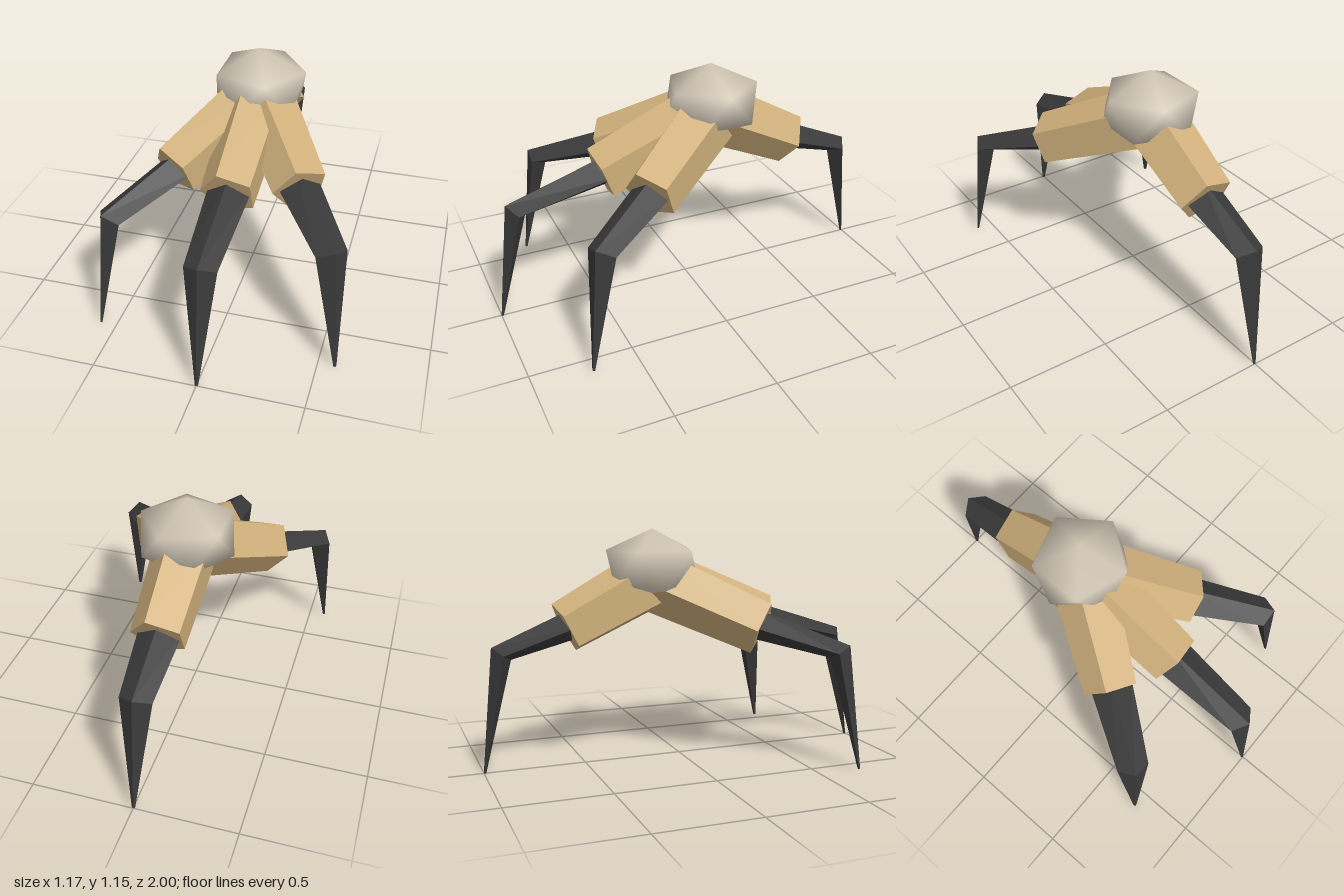
import * as THREE from 'three';
import { mergeVertices } from 'three/addons/utils/BufferGeometryUtils.js';

// A ring of points in a leg's own frame (leg runs along +z); tilt leans its top outward.
function ring(sides, phase, z, y, w, h, tilt) {
  return Array.from({ length: sides }, (_, i) => {
    const a = phase + (i / sides) * Math.PI * 2;
    const u = h * Math.sin(a);
    return [w * Math.cos(a), y + u * Math.cos(tilt), z + u * Math.sin(tilt)];
  });
}

// Skins a list of rings and caps both ends, with flat faces.
function loft(rings) {
  const n = rings[0].length, last = (rings.length - 1) * n, index = [];
  for (let r = 0; r < rings.length - 1; r++) {
    for (let i = 0; i < n; i++) {
      const a = r * n + i, b = r * n + (i + 1) % n;
      index.push(a, b, b + n, a, b + n, a + n);
    }
  }
  for (let i = 1; i < n - 1; i++) {
    index.push(0, i + 1, i, last, last + i, last + i + 1);
  }
  const g = new THREE.BufferGeometry();
  g.setAttribute('position', new THREE.Float32BufferAttribute(rings.flat(2), 3));
  g.setIndex(index);
  const flat = g.toNonIndexed();
  flat.computeVertexNormals();
  return flat;
}

export function createModel() {
  const model = new THREE.Group();
  model.name = 'fourLeggedCrawler';

  const material = (name, color) => {
    const m = new THREE.MeshStandardMaterial({ color });
    m.name = name;
    return m;
  };
  const shell = material('pale shell', 0xd0c6b4);
  const tan = material('tan', 0xd0b07c);
  const charcoal = material('charcoal', 0x3a3a3a);

  const add = (parent, name, geometry, mat) => {
    const mesh = new THREE.Mesh(geometry, mat);
    mesh.name = name;
    parent.add(mesh);
    return mesh;
  };

  // Body: a squashed icosahedron standing on a corner, smoothly shaded
  let ball = new THREE.IcosahedronGeometry(1, 0);
  ball.deleteAttribute('normal');
  ball.deleteAttribute('uv');
  ball = mergeVertices(ball, 1e-4);
  ball.rotateZ(Math.PI / 2 - Math.atan2((1 + Math.sqrt(5)) / 2, 1));
  ball.rotateY(Math.PI);
  ball.scale(0.257, 0.19, 0.257);
  ball.computeVertexNormals();
  add(model, 'body', ball, shell).position.set(0, 0.965, -0.14);

  // Legs: name, heading, then reach of the thigh end, knee and tip from the hub
  const legs = [
    ['frontLeg', 0, 0.59, 1.02, 1.135],
    ['leftLeg', 0.595, 0.55, 0.93, 1.036],
    ['rightLeg', -0.595, 0.55, 0.93, 1.036],
    ['backLeg', Math.PI, 0.445, 0.76, 0.855],
  ];
  for (const [name, heading, thighEnd, knee, tip] of legs) {
    const leg = new THREE.Group();
    leg.name = name;
    leg.position.z = -0.14;
    leg.rotation.y = heading;
    model.add(leg);

    // Thigh: five-sided tapered prism
    const slope = Math.atan2(0.225, thighEnd);
    add(leg, 'thigh', loft([
      ring(5, Math.PI / 5, 0, 0.905, 0.162, 0.162, slope),
      ring(5, Math.PI / 5, thighEnd, 0.68, 0.137, 0.137, slope),
    ]), tan);

    // Shin: flattened diamond section, bent at the knee and drawn to a point
    const shinSlope = Math.atan2(0.11, knee - thighEnd);
    const start = thighEnd - 0.06;
    add(leg, 'shin', loft([
      ring(4, 0, start, 0.685 + 0.06 * Math.tan(shinSlope), 0.105, 0.075, shinSlope),
      ring(4, 0, knee, 0.575, 0.077, 0.056, 0.97),
      ring(4, 0, tip, 0, 0.008, 0.006, Math.PI / 2),
    ]), charcoal);
  }
  return model;
}
